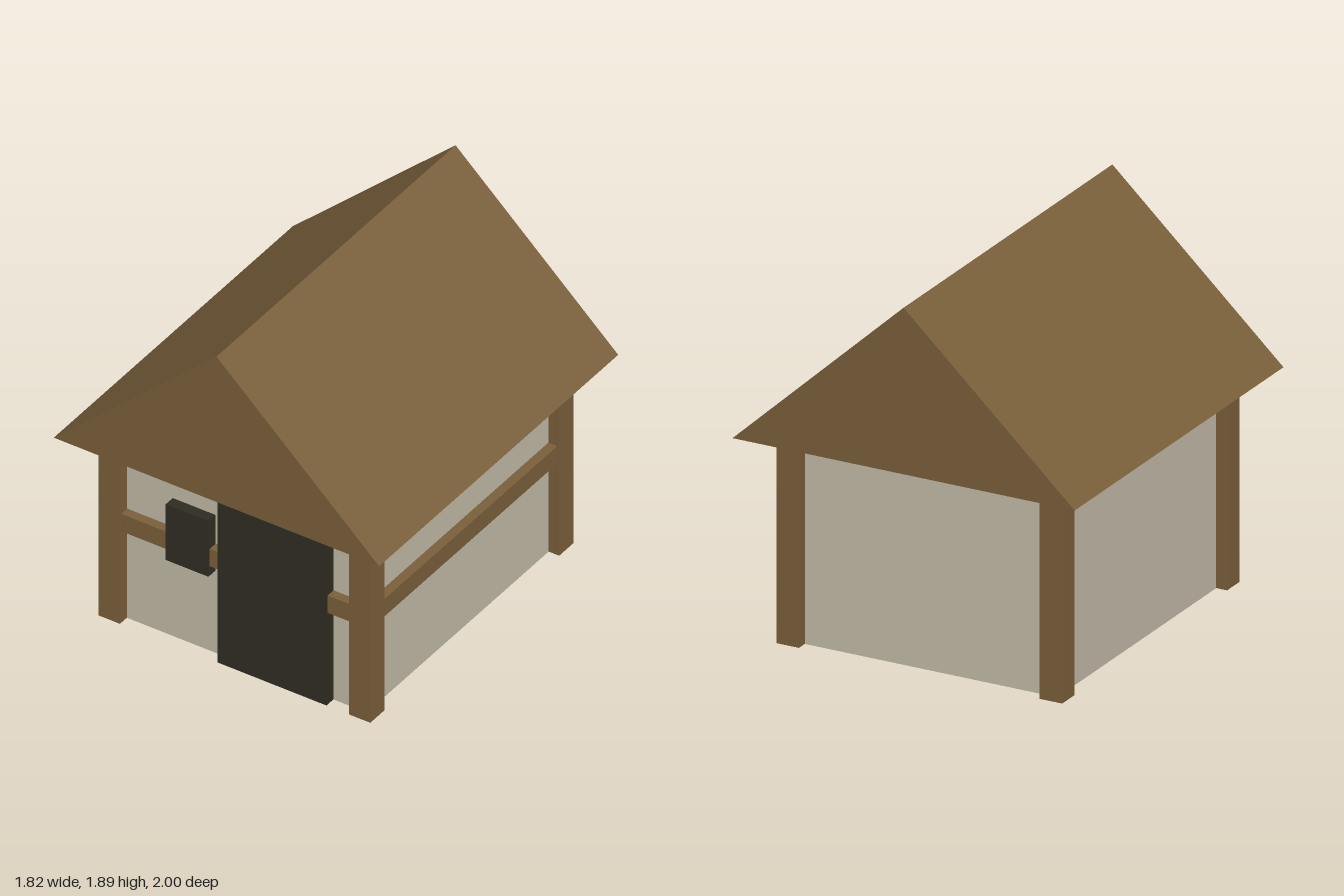
import * as THREE from 'three';

export function createModel() {
  const model = new THREE.Group();
  model.name = 'hut';

  const material = (name, color) => {
    const m = new THREE.MeshStandardMaterial({ color });
    m.name = name;
    return m;
  };
  const wood = material('brown wood', 0x7a5f3b);
  const plaster = material('pale plaster', 0xc2baa7);
  const dark = material('dark wood', 0x2f2d22);

  // Box given by its lower and upper limits on each axis
  const box = (name, mat, [x0, x1], [y0, y1], [z0, z1]) => {
    const mesh = new THREE.Mesh(new THREE.BoxGeometry(x1 - x0, y1 - y0, z1 - z0), mat);
    mesh.position.set((x0 + x1) / 2, (y0 + y1) / 2, (z0 + z1) / 2);
    mesh.name = name;
    model.add(mesh);
  };

  const eaves = 1.057;

  // Plastered body
  box('walls', plaster, [-0.7, 0.7], [0, eaves], [-0.79, 0.79]);

  // Corner posts, a hair above the floor so the body's underside stays clean
  for (const sx of [-1, 1]) {
    for (const sz of [-1, 1]) {
      const x = sx * 0.7, z = sz * 0.79;
      box('cornerPost', wood, [x - 0.06, x + 0.06], [0.002, eaves], [z - 0.06, z + 0.06]);
    }
  }

  // Horizontal beams on the front and left walls only
  box('frontBeam', wood, [-0.64, 0.64], [0.53, 0.63], [0.74, 0.84]);
  box('sideBeam', wood, [0.65, 0.75], [0.53, 0.63], [-0.73, 0.73]);

  // Door and window shutter
  box('door', dark, [-0.095, 0.515], [0.002, 0.97], [0.75, 0.85]);
  box('windowShutter', dark, [-0.385, -0.145], [0.475, 0.795], [0.75, 0.85]);

  // Solid gable roof
  const gable = new THREE.Shape();
  gable.moveTo(-0.91, eaves);
  gable.lineTo(0.91, eaves);
  gable.lineTo(0, 1.895);
  gable.closePath();
  const roof = new THREE.Mesh(
    new THREE.ExtrudeGeometry(gable, { depth: 2, bevelEnabled: false }), wood);
  roof.position.z = -1;
  roof.name = 'roof';
  model.add(roof);

  return model;
}
